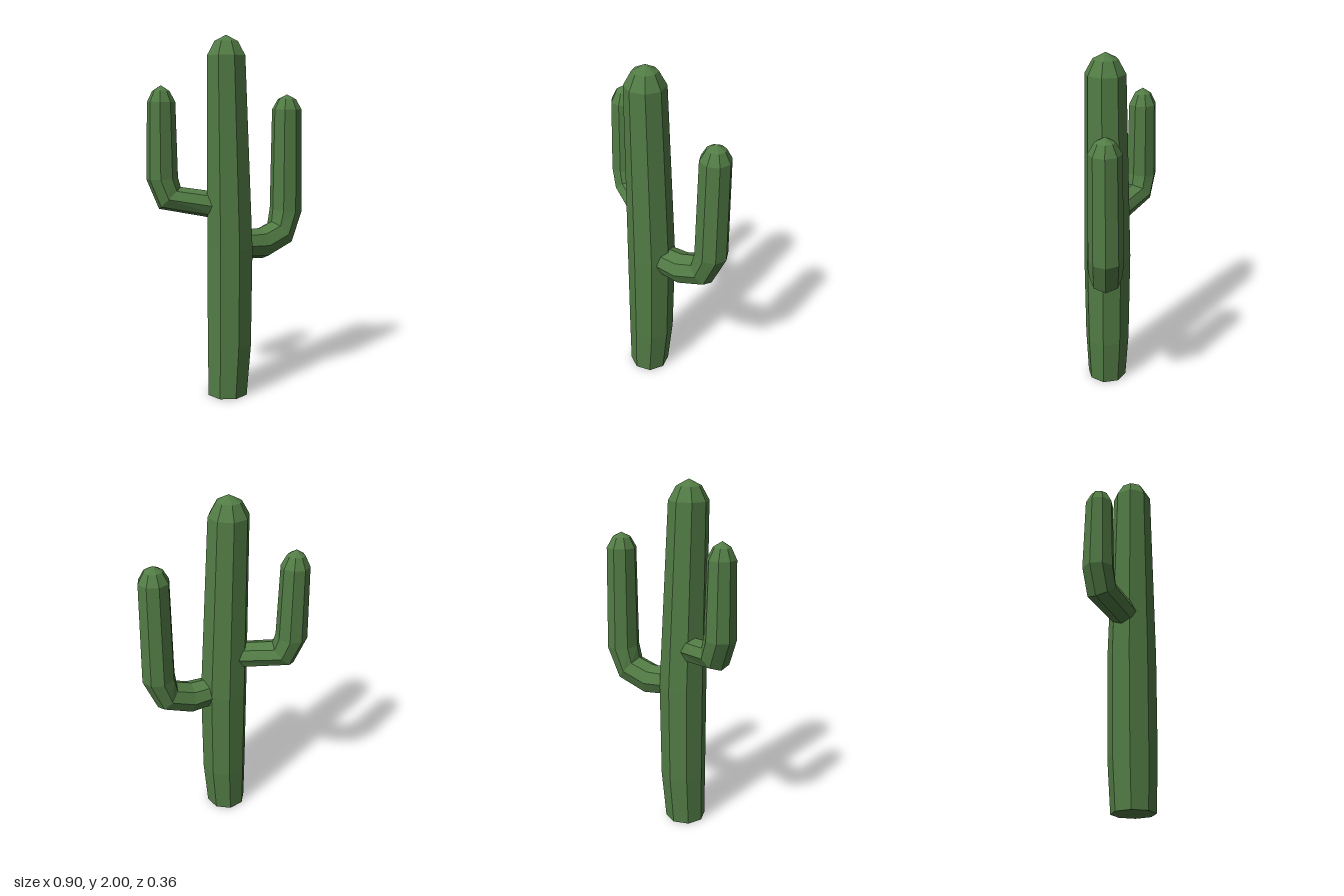
import * as THREE from 'three';

const SIDES = 8;

// Faceted stem through rings [x, y, z, radius, tilt in degrees]; a ring of radius 0 is a tip.
// The rings lean toward the horizontal heading (hx, hz): tilt 0 is level, 90 is upright.
function stem(name, rings, hx, hz, material) {
  const heading = new THREE.Vector3(hx, 0, hz).normalize();
  const up = new THREE.Vector3(0, 1, 0);
  const side = new THREE.Vector3().crossVectors(up, heading);
  const positions = [];
  const index = [];

  rings.forEach(([x, y, z, r, tilt]) => {
    const t = THREE.MathUtils.degToRad(tilt);
    const out = heading.clone().multiplyScalar(Math.cos(t)).addScaledVector(up, -Math.sin(t));
    for (let j = 0; j < SIDES; j++) {
      const a = (j / SIDES) * Math.PI * 2;
      const p = new THREE.Vector3(x, y, z)
        .addScaledVector(out, r * Math.cos(a))
        .addScaledVector(side, r * Math.sin(a));
      positions.push(p.x, p.y, p.z);
    }
  });

  // Side facets, with single triangles at the tip
  for (let i = 0; i < rings.length - 1; i++) {
    for (let j = 0; j < SIDES; j++) {
      const k = (j + 1) % SIDES;
      const a = i * SIDES + j, b = i * SIDES + k;
      const c = b + SIDES, d = a + SIDES;
      index.push(a, b, c);
      if (rings[i + 1][3] > 0) index.push(a, c, d);
    }
  }
  // Closed bottom end
  for (let j = 1; j < SIDES - 1; j++) index.push(0, j + 1, j);

  const indexed = new THREE.BufferGeometry();
  indexed.setAttribute('position', new THREE.Float32BufferAttribute(positions, 3));
  indexed.setIndex(index);
  const geometry = indexed.toNonIndexed(); // separate facets for flat shading
  geometry.computeVertexNormals();
  const mesh = new THREE.Mesh(geometry, material);
  mesh.name = name;
  return mesh;
}

export function createModel() {
  const group = new THREE.Group();
  group.name = 'cactus';
  const green = new THREE.MeshStandardMaterial({ color: 0x527c45 });
  green.name = 'cactus green';

  // Trunk, slightly swollen in the middle, with a domed top
  group.add(stem('trunk', [
    [-0.047, 0, 0.05, 0.117, 0],
    [-0.034, 0.29, 0.045, 0.131, 0],
    [-0.03, 0.85, 0.043, 0.135, 0],
    [-0.055, 1.89, 0.052, 0.11, 0],
    [-0.055, 1.965, 0.052, 0.068, 0],
    [-0.055, 2, 0.052, 0, 0],
  ], 1, 0, green));

  // Larger, lower arm
  group.add(stem('leftArm', [
    [0.02, 0.853, 0.037, 0.081, 85],
    [0.18, 0.845, 0.009, 0.09, 82],
    [0.312, 0.895, -0.014, 0.09, 50],
    [0.357, 1.025, -0.024, 0.094, 5],
    [0.356, 1.605, -0.022, 0.085, 0],
    [0.356, 1.663, -0.022, 0.052, 0],
    [0.356, 1.69, -0.022, 0, 0],
  ], 0.985, -0.172, green));

  // Smaller, higher arm, angled backwards
  group.add(stem('rightArm', [
    [-0.05, 1.073, 0.04, 0.075, 82],
    [-0.335, 1.122, -0.085, 0.086, 45],
    [-0.373, 1.23, -0.1, 0.087, 3],
    [-0.373, 1.645, -0.1, 0.077, 0],
    [-0.374, 1.705, -0.1, 0.047, 0],
    [-0.374, 1.735, -0.1, 0, 0],
  ], -0.918, -0.396, green));

  return group;
}
